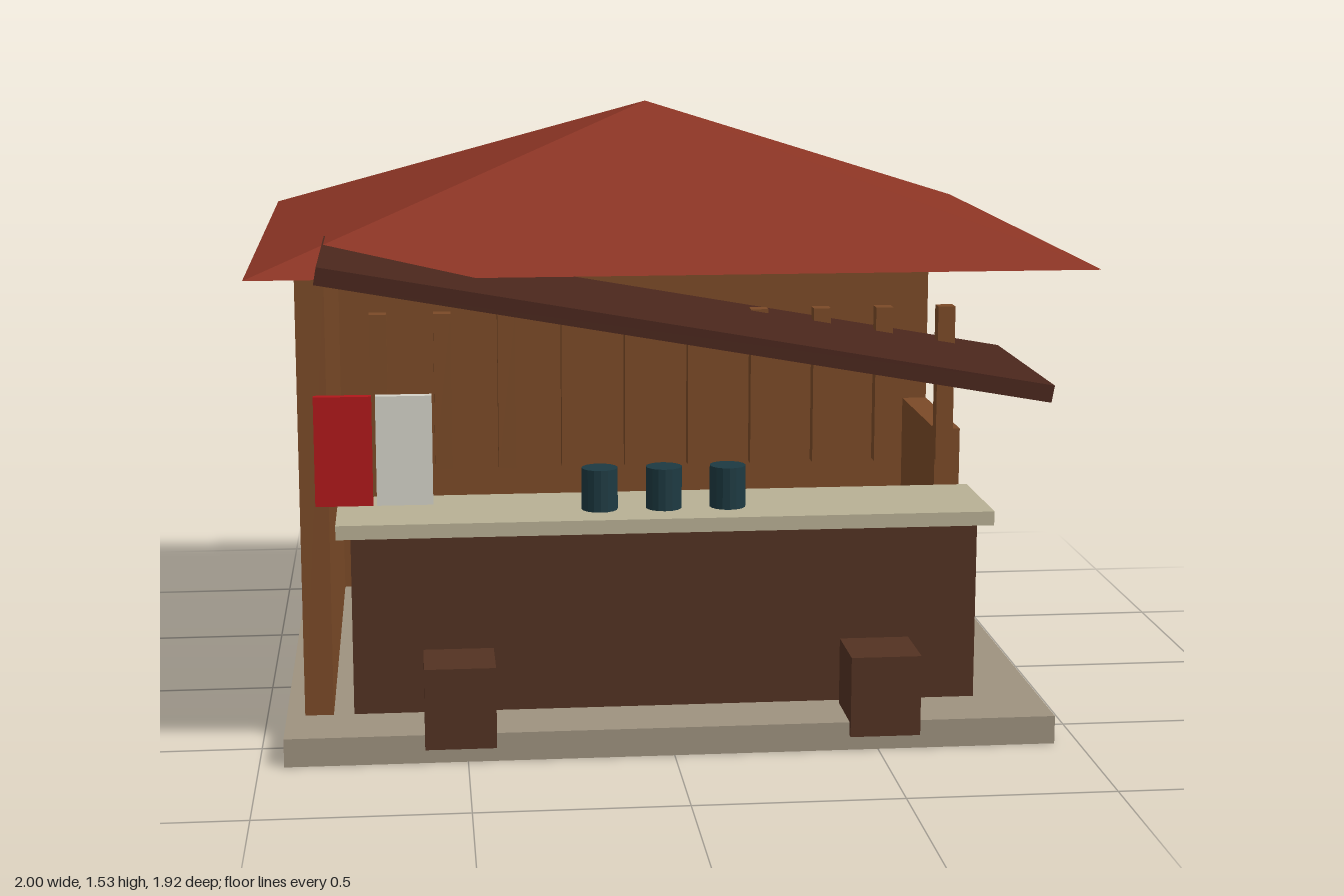
import * as THREE from 'three';

const material = (color) => new THREE.MeshStandardMaterial({ color, flatShading: true });

const wood = material(0x7b4a27);
const darkWood = material(0x533222);
const awningWood = material(0x4a261c);
const roofRed = material(0x8b3424);
const stone = material(0x9e927f);
const counterStone = material(0xb8b094);
const signRed = material(0xb0171a);
const signWhite = material(0xd4d2c8);
const teal = material(0x1d3a42);

export function createModel() {
  const model = new THREE.Group();
  model.name = 'foodStall';

  const add = (name, geometry, mat, x, y, z) => {
    const mesh = new THREE.Mesh(geometry, mat);
    mesh.name = name;
    mesh.position.set(x, y, z);
    model.add(mesh);
    return mesh;
  };

  // Box given by its extents along each axis
  const box = (name, mat, [x0, x1], [y0, y1], [z0, z1]) =>
    add(name, new THREE.BoxGeometry(x1 - x0, y1 - y0, z1 - z0), mat,
      (x0 + x1) / 2, (y0 + y1) / 2, (z0 + z1) / 2);

  // Floor slab
  box('floorSlab', stone, [-0.94, 0.94], [0, 0.07], [-0.88, 0.645]);

  // Walls: full back and right side, low wall on the left side
  box('backWall', wood, [-0.895, 0.895], [0.07, 1.165], [-0.82, -0.75]);
  box('rightWall', wood, [-0.895, -0.825], [0.07, 1.165], [-0.75, 0.465]);
  box('lowLeftWall', wood, [0.825, 0.895], [0.07, 0.605], [-0.75, -0.285]);

  // Pyramid roof
  const roof = new THREE.ConeGeometry(Math.SQRT2, 0.345, 4);
  roof.rotateY(Math.PI / 4);
  roof.scale(1, 1, 0.838);
  add('roof', roof, roofRed, 0, 1.3575, -0.122);

  // Serving counter
  box('counterBase', darkWood, [-0.775, 0.775], [0.07, 0.52], [0.22, 0.465]);
  box('counterTop', counterStone, [-0.81, 0.81], [0.52, 0.555], [0.19, 0.5]);

  // Slanting awning
  const awning = box('awning', awningWood, [-0.84, 0.84], [1.062, 1.102], [0.402, 0.96]);
  awning.rotation.z = -THREE.MathUtils.degToRad(10);

  // Hanging slats above the counter
  for (let i = 0; i < 10; i++) {
    const x = -0.6885 + i * 0.153 - 0.01;
    box('hangingSlat', wood, [x - 0.021, x + 0.021], [0.69, 1.07], [0.465, 0.503]);
  }

  // Sign panels
  box('redSign', signRed, [-0.855, -0.717], [0.61, 0.877], [0.503, 0.528]);
  box('whiteSign', signWhite, [-0.708, -0.573], [0.61, 0.877], [0.503, 0.528]);

  // Cups on the counter
  for (const x of [-0.16, 0, 0.16]) {
    add('cup', new THREE.CylinderGeometry(0.045, 0.045, 0.105, 16), teal, x, 0.6075, 0.375);
  }

  // Stools in front
  for (const x of [-0.517, 0.515]) {
    box('stool', darkWood, [x - 0.086, x + 0.086], [0.037, 0.237], [0.49, 0.66]);
  }

  return model;
}
